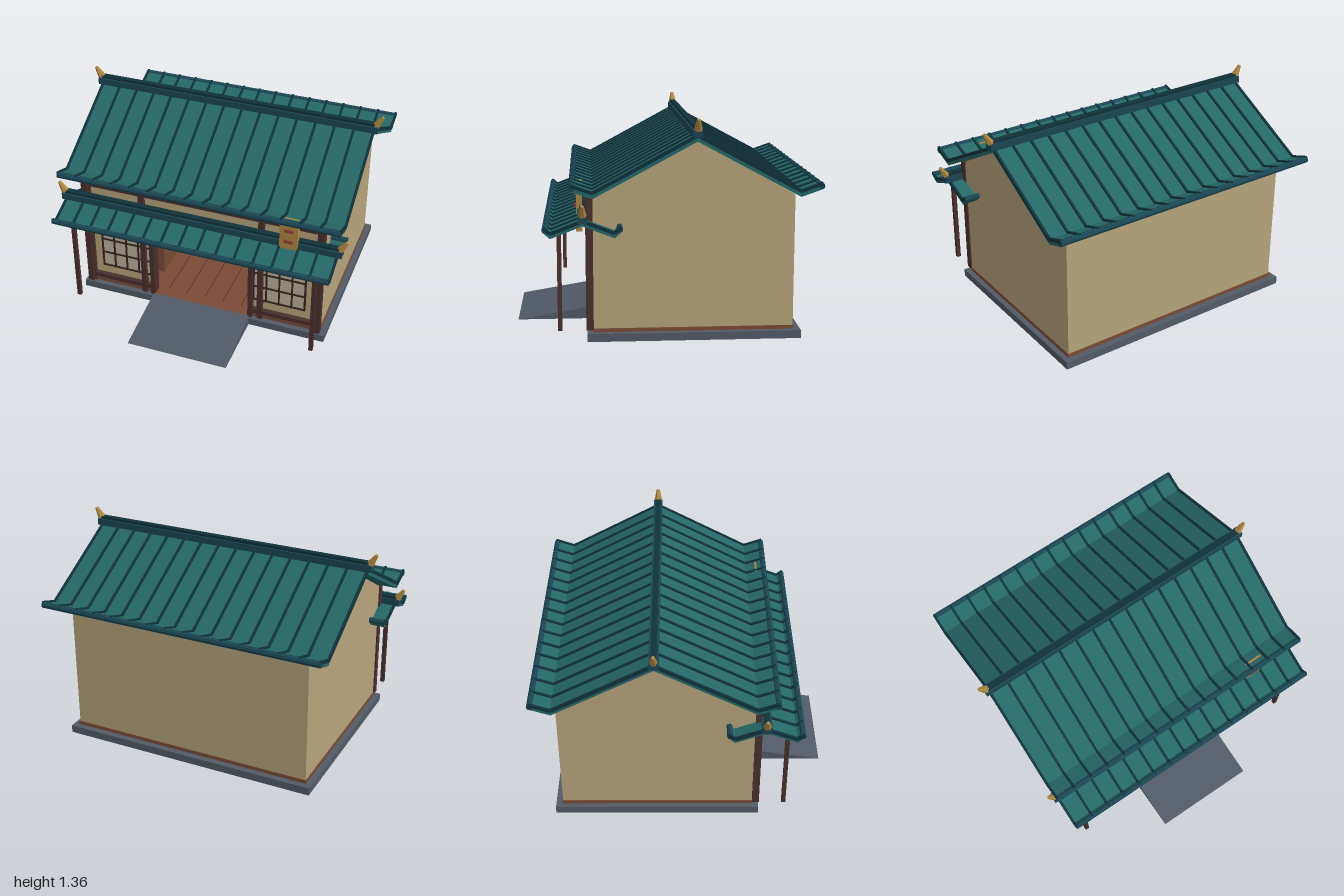
import * as THREE from 'three';

const mat = (color) => new THREE.MeshStandardMaterial({ color, flatShading: true });
const M = {
  stone: mat(0x525b66), floor: mat(0x7a4b35), seam: mat(0x553324), wall: mat(0xb7a57b), wood: mat(0x4a302c),
  tile: mat(0x256868), rib: mat(0x10323b), ridge: mat(0x1a4654), gold: mat(0xb0873f),
  pane: mat(0xbdb49d), red: mat(0x963f36), lattice: mat(0x33231f), cloth: mat(0x23686a),
};

function add(parent, name, geometry, material, x = 0, y = 0, z = 0) {
  const mesh = new THREE.Mesh(geometry, material);
  mesh.name = name;
  mesh.position.set(x, y, z);
  parent.add(mesh);
  return mesh;
}

// Box given by its minimum and maximum on each axis
function box(parent, name, material, x0, x1, y0, y1, z0, z1) {
  return add(parent, name, new THREE.BoxGeometry(x1 - x0, y1 - y0, z1 - z0), material,
    (x0 + x1) / 2, (y0 + y1) / 2, (z0 + z1) / 2);
}

// Outline of [z, y] points extruded along x, from x0 to x1
function extrudeX(parent, name, material, points, x0, x1) {
  const shape = new THREE.Shape(points.map(([z, y]) => new THREE.Vector2(-z, y)));
  const geometry = new THREE.ExtrudeGeometry(shape, { depth: x1 - x0, bevelEnabled: false });
  geometry.rotateY(Math.PI / 2);
  return add(parent, name, geometry, material, x0, 0, 0);
}

// Bar lying in the z-y plane between two [z, y] points
function bar(parent, name, material, x, a, b, width, height) {
  const dz = b[0] - a[0], dy = b[1] - a[1];
  const mesh = add(parent, name, new THREE.BoxGeometry(width, height, Math.hypot(dz, dy)), material,
    x, (a[1] + b[1]) / 2, (a[0] + b[0]) / 2);
  mesh.rotation.x = -Math.atan2(dy, dz);
}

// Gabled roof with upturned eaves, ribs, ridge beam and horns
function roof(parent, name, o) {
  const g = new THREE.Group();
  g.name = name;
  parent.add(g);
  const half = [[0, o.apex], [o.valley[0], o.valley[1]], [o.tip[0], o.tip[1]]];
  const side = (s, drop) => half.map(([z, y]) => [o.z + s * z, y - drop]);
  const outline = (drop) => [...side(1, drop).reverse(), ...side(-1, drop).slice(1)];
  extrudeX(g, 'roofTiles', M.tile, [...outline(0), ...outline(o.thick).reverse()], -o.halfX, o.halfX);

  for (const s of [1, -1]) {
    const [a, b, c] = side(s, 0);
    for (let i = 0; i < o.ribs; i++) {
      const x = -o.halfX + (2 * o.halfX * i) / (o.ribs - 1);
      bar(g, 'roofRib', M.rib, x, a, b, 0.015, 0.02);
      bar(g, 'eaveRib', M.rib, x, b, c, 0.015, 0.02);
    }
    const eave = add(g, 'eaveRoll', new THREE.CylinderGeometry(o.roll, o.roll, 2 * o.halfX + 0.01, 8),
      M.ridge, 0, c[1] - o.thick * 0.45, c[0] - s * 0.008);
    eave.rotation.z = Math.PI / 2;
  }

  // Two-tier ridge beam
  const rx = o.ridgeX, y = o.apex;
  box(g, 'ridgeBase', M.ridge, -rx, rx, y - 0.01, y + 0.033, o.z - 0.03, o.z + 0.03);
  box(g, 'ridgeCap', M.rib, -rx + 0.01, rx - 0.01, y + 0.033, y + 0.05, o.z - 0.018, o.z + 0.018);

  for (const s of [-1, 1]) {
    const horn = add(g, 'ridgeHorn', new THREE.CylinderGeometry(0.011, 0.026, 0.075, 6), M.gold,
      s * (rx + 0.005), y + 0.068, o.z);
    horn.rotation.z = -s * 0.55;
  }
}

// Lattice window between x0 and x1
function latticeWindow(parent, x0, x1) {
  const g = new THREE.Group();
  g.name = 'latticeWindow';
  parent.add(g);
  const y0 = 0.207, y1 = 0.532;
  box(g, 'pane', M.pane, x0, x1, y0, y1, 0.44, 0.448);
  for (let i = 0; i <= 4; i++) {
    const x = x0 + ((x1 - x0) * i) / 4;
    box(g, 'uprightBar', M.lattice, x - 0.005, x + 0.005, y0 - 0.005, y1 + 0.005, 0.44, 0.458);
  }
  for (let i = 0; i <= 3; i++) {
    const y = y0 + ((y1 - y0) * i) / 3;
    box(g, 'crossBar', M.lattice, x0, x1, y - 0.005, y + 0.005, 0.44, 0.456);
  }
}

export function createModel() {
  const model = new THREE.Group();
  model.name = 'tileRoofedShop';

  // Ground slab, entrance ramp and plank floor
  box(model, 'foundation', M.stone, -0.855, 0.855, 0, 0.05, -0.825, 0.48);
  extrudeX(model, 'entranceRamp', M.stone, [[0.925, 0], [0.48, 0.075], [0.48, 0]], -0.34, 0.34);
  box(model, 'floor', M.floor, -0.82, 0.82, 0.05, 0.073, -0.785, 0.445);
  box(model, 'threshold', M.floor, -0.34, 0.34, 0.05, 0.073, 0.44, 0.48);
  for (let i = 1; i < 12; i++) {
    const x = -0.78 + i * 0.13;
    box(model, 'plankSeam', M.seam, x - 0.003, x + 0.003, 0.07, 0.075, -0.75, 0.4);
  }

  // Gable, back and front walls
  const gable = [[0.44, 0.07], [0.44, 0.885], [-0.17, 1.235], [-0.78, 0.885], [-0.78, 0.07]];
  extrudeX(model, 'gableWall', M.wall, gable, 0.785, 0.815);
  extrudeX(model, 'gableWall', M.wall, gable, -0.815, -0.785);
  box(model, 'backWall', M.wall, -0.785, 0.785, 0.07, 0.885, -0.78, -0.75);
  box(model, 'wallOverEntrance', M.wall, -0.34, 0.34, 0.66, 0.885, 0.41, 0.44);

  // Front timber framing, mirrored about the entrance
  box(model, 'topBeam', M.wood, -0.81, 0.81, 0.85, 0.885, 0.435, 0.475);
  for (const s of [-1, 1]) {
    const span = (name, material, a, b, y0, y1, z0, z1) =>
      box(model, name, material, Math.min(s * a, s * b), Math.max(s * a, s * b), y0, y1, z0, z1);
    span('frontWall', M.wall, 0.34, 0.785, 0.07, 0.885, 0.41, 0.44);
    span('cornerPost', M.wood, 0.785, 0.825, 0.065, 0.88, 0.44, 0.485);
    span('cornerTrim', M.wood, 0.775, 0.812, 0.065, 0.88, 0.435, 0.47);
    span('wallPost', M.wood, 0.392, 0.427, 0.065, 0.88, 0.435, 0.475);
    span('entrancePost', M.wood, 0.33, 0.36, 0.065, 0.66, 0.41, 0.48);
    span('upperRail', M.wood, 0.34, 0.8, 0.597, 0.632, 0.435, 0.472);
    span('lowerRail', M.wood, 0.34, 0.8, 0.1, 0.132, 0.435, 0.472);
    span('awningPost', M.wood, 0.802, 0.828, 0.065, 0.69, 0.63, 0.656);
    latticeWindow(model, s < 0 ? -0.713 : 0.362, s < 0 ? -0.367 : 0.71);
  }

  // Display shelf against the back wall
  const shelf = new THREE.Group();
  shelf.name = 'displayShelf';
  model.add(shelf);
  box(shelf, 'shelfBack', M.wood, -0.75, -0.065, 0.075, 0.545, -0.745, -0.72);
  box(shelf, 'shelfSide', M.wood, -0.085, -0.065, 0.075, 0.545, -0.72, -0.6);
  for (const y of [0.1, 0.29, 0.455]) {
    box(shelf, 'shelfBoard', M.floor, -0.75, -0.065, y - 0.008, y + 0.008, -0.72, -0.59);
  }
  [0.108, 0.27, 0.425].forEach((y, row) => {
    for (let i = 0; i < 5; i++) {
      const x = -0.72 + i * 0.112;
      box(shelf, 'goods', (i + row) % 2 ? M.pane : M.red, x, x + 0.045, y, y + 0.05, -0.65, -0.585);
    }
  });

  // Counter inside, left of the entrance
  box(model, 'counter', M.floor, -0.6, -0.36, 0.073, 0.3, -0.45, 0.24);

  // Main roof and front awning
  roof(model, 'mainRoof', {
    z: -0.175, apex: 1.26, valley: [0.617, 0.927], tip: [0.745, 0.972],
    thick: 0.035, halfX: 0.937, ribs: 16, roll: 0.02, ridgeX: 0.965,
  });
  roof(model, 'awningRoof', {
    z: 0.502, apex: 0.757, valley: [0.19, 0.683], tip: [0.23, 0.718],
    thick: 0.03, halfX: 0.915, ribs: 16, roll: 0.018, ridgeX: 0.945,
  });

  // Entrance curtains under the awning
  for (const x of [-0.208, -0.003, 0.2]) {
    box(model, 'entranceCurtain', M.cloth, x - 0.09, x + 0.09, 0.597, 0.735, 0.506, 0.514);
  }

  // Hanging signboard with two plain bars
  box(model, 'signboard', M.gold, 0.55, 0.668, 0.645, 0.953, 0.503, 0.54);
  for (const y of [0.8, 0.88]) {
    box(model, 'signBar', M.red, 0.58, 0.638, y - 0.01, y + 0.01, 0.535, 0.548);
  }
  return model;
}
